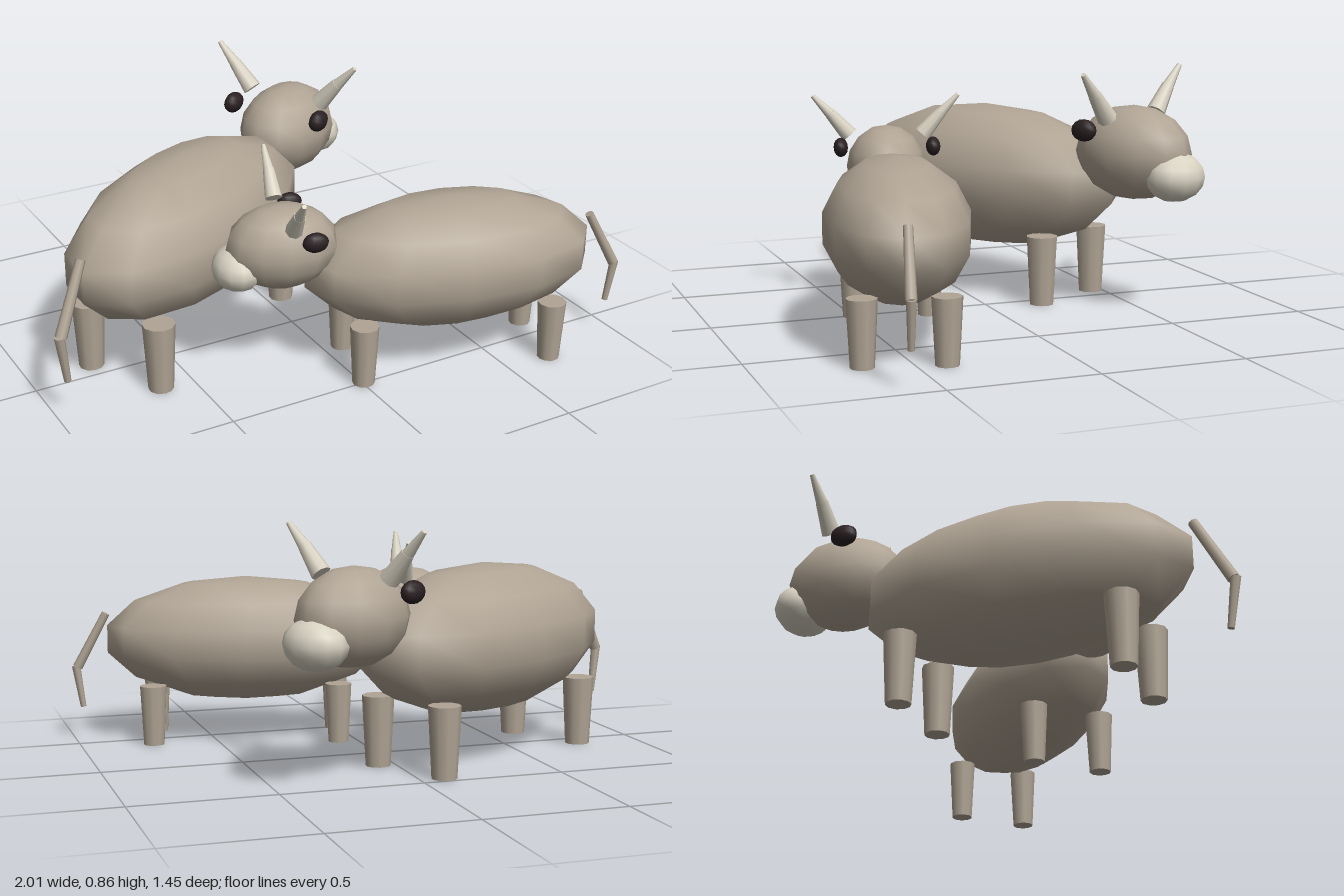
import * as THREE from 'three';

const mat = (name, color) => {
  const m = new THREE.MeshStandardMaterial({ color });
  m.name = name;
  return m;
};

export function createModel() {
  const hide = mat('hide', 0xb0a494);
  const cream = mat('cream', 0xd8d2c2);
  const dark = mat('dark', 0x2a2022);

  const add = (parent, name, geo, material) => {
    const mesh = new THREE.Mesh(geo, material);
    mesh.name = name;
    parent.add(mesh);
    return mesh;
  };

  // Ellipsoid with its own radii along x, y, z
  const ellipsoid = (parent, name, pos, radii, material, w, h) => {
    const mesh = add(parent, name, new THREE.SphereGeometry(1, w, h), material);
    mesh.position.set(...pos);
    mesh.scale.set(...radii);
  };

  // Tapered rod between two points
  const rod = (parent, name, from, to, r0, r1, material, sides) => {
    const a = new THREE.Vector3(...from), b = new THREE.Vector3(...to);
    const dir = b.clone().sub(a);
    const mesh = add(parent, name, new THREE.CylinderGeometry(r1, r0, dir.length(), sides), material);
    mesh.position.copy(a).add(b).multiplyScalar(0.5);
    mesh.quaternion.setFromUnitVectors(new THREE.Vector3(0, 1, 0), dir.normalize());
  };

  // One animal facing its local +x
  const makeAnimal = (name) => {
    const g = new THREE.Group();
    g.name = name;
    ellipsoid(g, 'body', [0, 0.43, 0], [0.605, 0.266, 0.284], hide, 12, 7);
    ellipsoid(g, 'head', [0.68, 0.565, 0], [0.222, 0.168, 0.162], hide, 12, 8);
    ellipsoid(g, 'muzzle', [0.855, 0.493, 0], [0.1, 0.088, 0.118], cream, 12, 8);
    for (const s of [1, -1]) {
      ellipsoid(g, 'eye', [0.6, 0.653, s * 0.188], [0.051, 0.039, 0.03], dark, 10, 8);
      // Horn in two tapering pieces
      rod(g, 'hornBase', [0.672, 0.695, s * 0.15], [0.672, 0.785, s * 0.228], 0.035, 0.023, cream, 8);
      rod(g, 'hornTip', [0.672, 0.775, s * 0.22], [0.675, 0.857, s * 0.298], 0.023, 0.009, cream, 8);
      for (const x of [0.39, -0.39])
        rod(g, x > 0 ? 'frontLeg' : 'hindLeg', [x, 0, s * 0.15], [x, 0.25, s * 0.15], 0.044, 0.057, hide, 10);
    }
    // Bent tail
    rod(g, 'tailUpper', [-0.595, 0.54, 0], [-0.718, 0.31, 0], 0.017, 0.021, hide, 8);
    rod(g, 'tailLower', [-0.725, 0.315, 0], [-0.698, 0.138, 0], 0.018, 0.012, hide, 8);
    return g;
  };

  const model = new THREE.Group();
  model.name = 'grazingPair';

  const large = makeAnimal('largeAnimal');
  large.position.set(-0.352, 0, -0.135);
  large.rotation.y = THREE.MathUtils.degToRad(29.5);

  const small = makeAnimal('smallAnimal');
  small.position.set(0.372, 0, 0.45);
  small.rotation.y = THREE.MathUtils.degToRad(166);
  small.scale.setScalar(0.88);

  model.add(large, small);
  return model;
}
